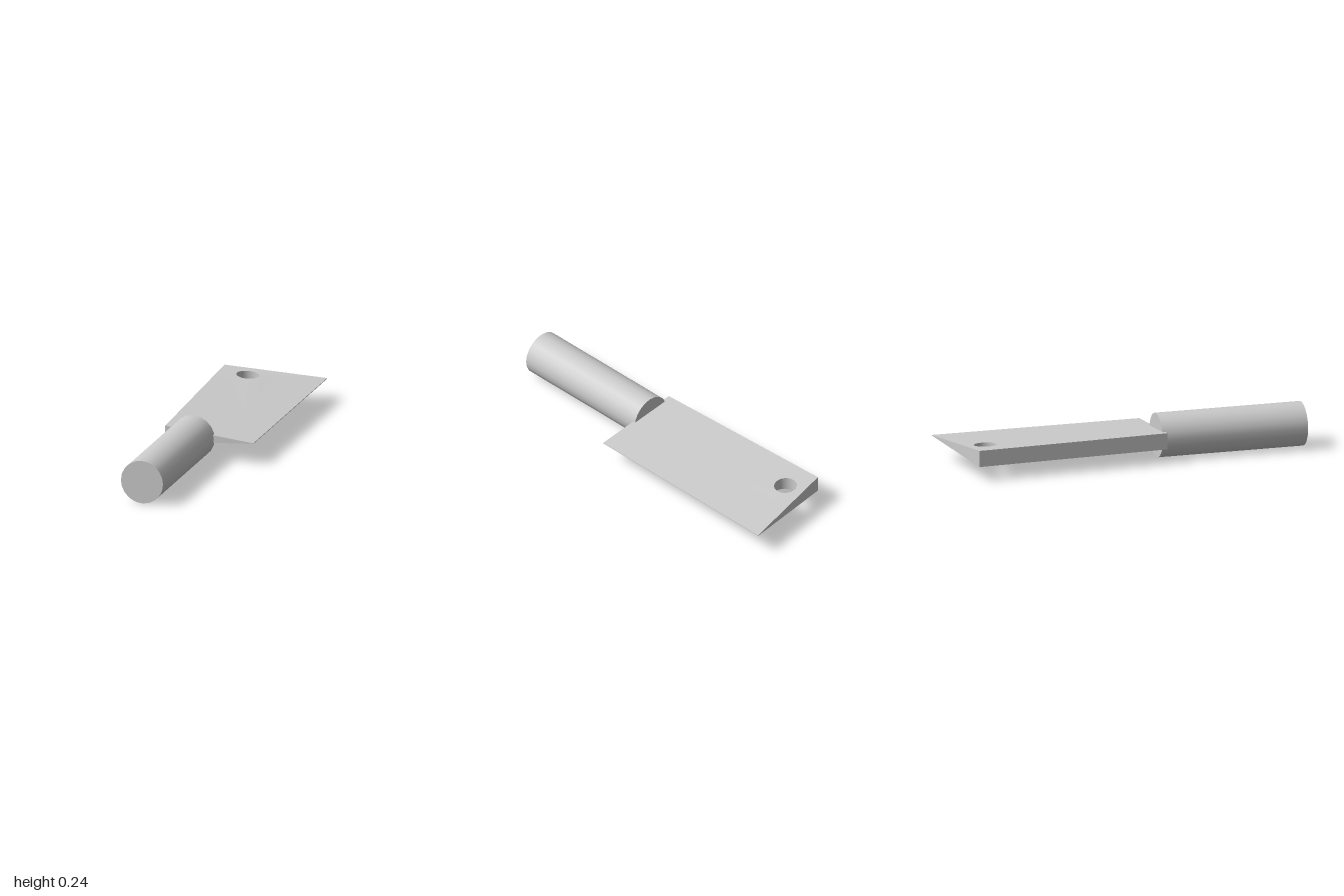
import * as THREE from 'three';
import { toCreasedNormals } from 'three/addons/utils/BufferGeometryUtils.js';

const SPINE_BACK = { x: -0.28, z: -0.905 };
const SPINE_FRONT = { x: -0.23, z: 0.185 };
const EDGE_X = 0.28;
const SPINE_THICKNESS = 0.091;
const EDGE_THICKNESS = 0.004;
const BLADE_Y = 0.1255;

// x of the slanting spine at a given z
function spineX(z) {
  const t = (z - SPINE_BACK.z) / (SPINE_FRONT.z - SPINE_BACK.z);
  return THREE.MathUtils.lerp(SPINE_BACK.x, SPINE_FRONT.x, t);
}

// Flat outline with a hanging hole, extruded and thinned from spine to cutting edge
function bladeGeometry() {
  const shape = new THREE.Shape([
    new THREE.Vector2(SPINE_FRONT.x, -SPINE_FRONT.z),
    new THREE.Vector2(EDGE_X, -SPINE_FRONT.z),
    new THREE.Vector2(EDGE_X, 1),
    new THREE.Vector2(SPINE_BACK.x, -SPINE_BACK.z),
  ]);
  const hole = new THREE.Path();
  hole.absarc(-0.115, 0.82, 0.062, 0, Math.PI * 2, true);
  shape.holes.push(hole);

  const geometry = new THREE.ExtrudeGeometry(shape, { depth: 1, bevelEnabled: false, curveSegments: 16 });
  geometry.rotateX(-Math.PI / 2);
  const p = geometry.attributes.position;
  for (let i = 0; i < p.count; i++) {
    const left = spineX(p.getZ(i));
    const u = THREE.MathUtils.clamp((p.getX(i) - left) / (EDGE_X - left), 0, 1);
    const thickness = THREE.MathUtils.lerp(SPINE_THICKNESS, EDGE_THICKNESS, u);
    p.setY(i, BLADE_Y + (p.getY(i) - 0.5) * thickness);
  }
  return toCreasedNormals(geometry, Math.PI / 6);
}

export function createModel() {
  const group = new THREE.Group();
  group.name = 'cleaver';
  const material = new THREE.MeshStandardMaterial({ color: 0xcccccc });

  const blade = new THREE.Mesh(bladeGeometry(), material);
  blade.name = 'blade';
  group.add(blade);

  // Round handle overlapping the front end of the blade
  const handleGeometry = new THREE.CylinderGeometry(0.122, 0.122, 0.83, 20);
  handleGeometry.rotateX(Math.PI / 2);
  const handle = new THREE.Mesh(handleGeometry, material);
  handle.name = 'handle';
  handle.position.set(-0.071, 0.122, 0.585);
  group.add(handle);

  return group;
}
